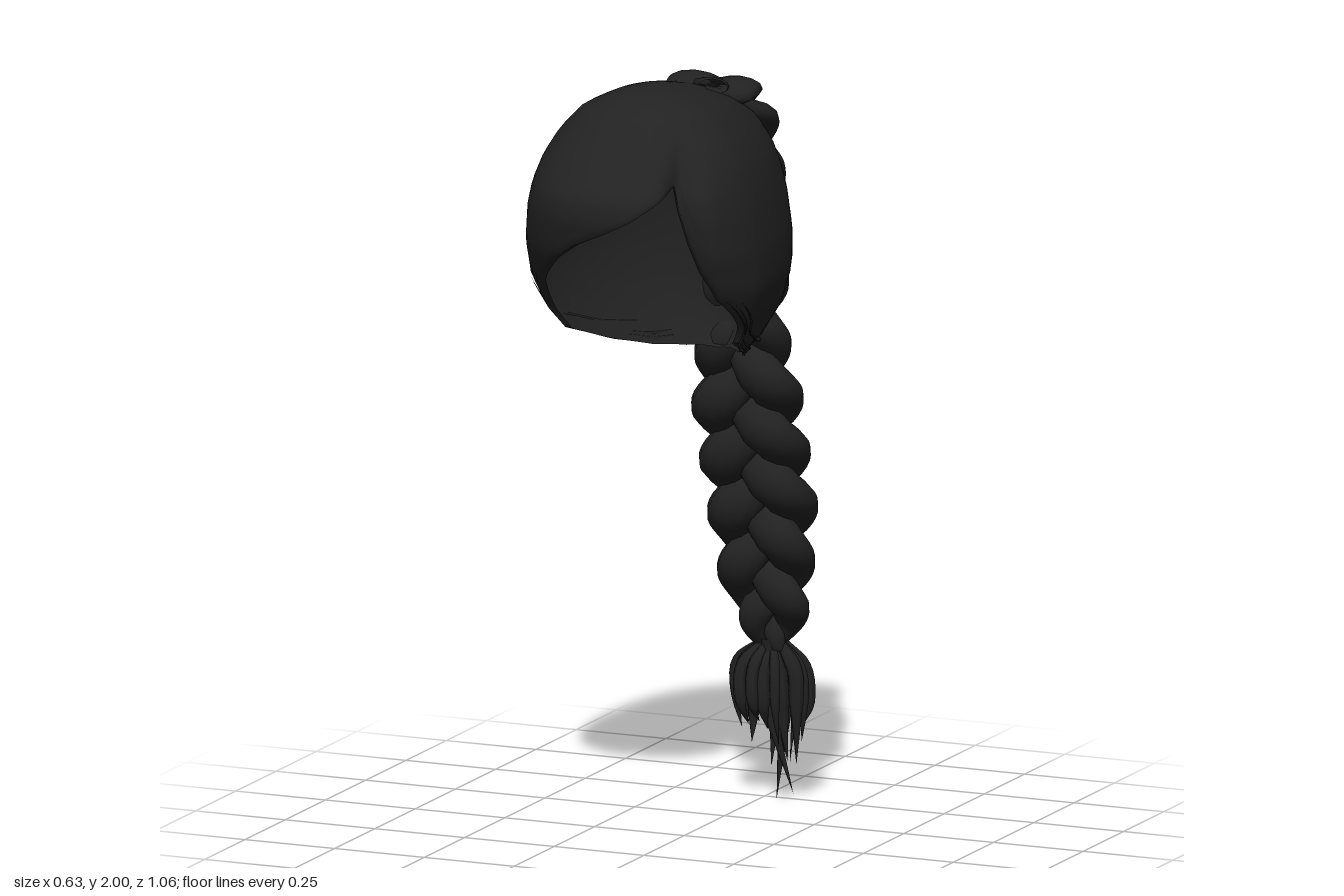
import * as THREE from 'three';

const hair = new THREE.MeshStandardMaterial({ color: 0x222222, side: THREE.DoubleSide });
hair.name = 'black hair';

const { lerp } = THREE.MathUtils;

// Linear lookup in rows sorted by their first value; returns the other columns
function lookup(rows, key) {
  let i = 0;
  while (i < rows.length - 2 && key > rows[i + 1][0]) i++;
  const a = rows[i], b = rows[i + 1];
  const t = THREE.MathUtils.clamp((key - a[0]) / (b[0] - a[0]), 0, 1);
  return a.slice(1).map((v, k) => lerp(v, b[k + 1], t));
}

function seeded(seed) {
  return () => (seed = (seed * 16807) % 2147483647) / 2147483647;
}

// Grid of rows, closed around each row
function loft(rows, cols, pointAt) {
  const pos = [], index = [];
  for (let r = 0; r <= rows; r++)
    for (let c = 0; c < cols; c++) pos.push(...pointAt(r / rows, c / cols).toArray());
  for (let r = 0; r < rows; r++)
    for (let c = 0; c < cols; c++) {
      const d = (c + 1) % cols;
      const a = r * cols + c, b = r * cols + d, e = a + cols, f = b + cols;
      index.push(a, e, b, b, e, f);
    }
  const g = new THREE.BufferGeometry();
  g.setAttribute('position', new THREE.Float32BufferAttribute(pos, 3));
  g.setIndex(index);
  g.computeVertexNormals();
  return g;
}

// Flattened tube along a path, with varying half width and half depth
function lock(path, width, depth, rows, cols) {
  return loft(rows, cols, (t, s) => {
    const p = path(t);
    const tan = path(Math.min(t + 0.004, 1)).sub(path(Math.max(t - 0.004, 0))).normalize();
    const side = new THREE.Vector3(1, 0, 0.01);
    side.addScaledVector(tan, -side.dot(tan)).normalize();
    const out = new THREE.Vector3().crossVectors(tan, side);
    const a = s * Math.PI * 2;
    return p.addScaledVector(side, width(t) * Math.cos(a)).addScaledVector(out, depth(t) * Math.sin(a));
  });
}

// Cap outline by height: y, half width, front z, back z
const RINGS = [
  [1.24, 0.14, 0.2, -0.24], [1.3, 0.21, 0.25, -0.26], [1.4, 0.28, 0.33, -0.27],
  [1.5, 0.315, 0.43, -0.27], [1.6, 0.317, 0.5, -0.265], [1.7, 0.304, 0.53, -0.25],
  [1.76, 0.29, 0.525, -0.235], [1.82, 0.27, 0.475, -0.21], [1.88, 0.235, 0.42, -0.17],
  [1.94, 0.18, 0.36, -0.08], [1.97, 0.12, 0.31, 0.02], [1.99, 0.06, 0.26, 0.11], [2, 0, 0.2, 0.2],
];
// Hem height by angle from the front, in degrees, positive to the left
const HEM = [
  [-180, 1.23], [-150, 1.24], [-130, 1.255], [-110, 1.29], [-90, 1.345], [-75, 1.4], [-60, 1.46],
  [-45, 1.525], [-30, 1.585], [-15, 1.635], [0, 1.67], [15, 1.71], [30, 1.76], [39, 1.79], [43, 1.7],
  [47, 1.57], [54, 1.48], [70, 1.42], [90, 1.345], [110, 1.29], [130, 1.255], [150, 1.24], [180, 1.23],
];

// Point on the cap; v runs from crown (0) to hem (1), grow scales it about its axis
function capPoint(deg, v, grow = 1) {
  const hem = lookup(HEM, deg)[0];
  const y = 2 - (2 - hem) * Math.pow(v, 1.7);
  const [w, zf, zb] = lookup(RINGS, y);
  const a = THREE.MathUtils.degToRad(deg), s = Math.sin(a), c = Math.cos(a);
  // a little squarer than an ellipse, least so at the front left
  const e = deg > 0 && deg < 90 ? 2.08 : 2.22;
  const full = Math.pow(Math.abs(s) ** e + Math.abs(c) ** e, -1 / e);
  // crease where the fringe parts from the left side
  const dent = 1 - 0.17 * Math.exp(-(((deg - 41) / 8) ** 2)) * THREE.MathUtils.clamp((1.92 - y) / 0.14, 0, 1);
  const k = grow * dent * full;
  return new THREE.Vector3(w * s * k, y, 0.2 + (c > 0 ? zf - 0.2 : 0.2 - zb) * c * k);
}

export function createModel() {
  const model = new THREE.Group();
  model.name = 'braidedHair';
  const rand = seeded(71);
  const add = (name, geometry, parent = model) => {
    const m = new THREE.Mesh(geometry, hair);
    m.name = name;
    parent.add(m);
    return m;
  };
  const group = (name) => {
    const g = new THREE.Group();
    g.name = name;
    model.add(g);
    return g;
  };

  // Open cap with the hem tucked inward
  const rows = 30;
  add('hairCap', loft(rows, 120, (t, s) => {
    const r = Math.round(t * rows), tuck = Math.max(0, r - 27);
    return capPoint(s * 360 - 180, Math.min(1, r / 27), 1 - 0.025 * tuck);
  }));

  // Fine strands following the hem
  const strays = group('hemStrands');
  for (let i = 0; i < 12; i++) {
    const start = (i % 2 ? 50 : -165) + rand() * 20, span = 60 + rand() * 45;
    const v = 0.93 + rand() * 0.07, grow = 1.005 + rand() * 0.02;
    const path = (t) => capPoint(start + span * t, v + 0.02 * Math.sin(t * 3), grow);
    add('hemStrand', loft(20, 4, (t, s) => {
      const r = 0.006 * Math.sin(Math.PI * t), a = s * Math.PI * 2, p = path(t);
      return p.add(new THREE.Vector3(r * 0.4 * Math.cos(a), r * Math.sin(a), r * 0.4 * Math.cos(a)));
    }), strays);
  }

  // Three-strand braid from the crown down the back
  const spine = new THREE.CatmullRomCurve3([
    [0.06, 1.96, 0.05], [0.045, 1.93, -0.09], [0.03, 1.83, -0.205], [0.03, 1.6, -0.265], [0.03, 1.4, -0.305],
    [0.03, 1.25, -0.305], [0.025, 1.05, -0.34], [0.03, 0.8, -0.41], [0.03, 0.6, -0.44], [0.04, 0.4, -0.465],
  ].map((p) => new THREE.Vector3(...p)));
  // Along the braid: width scale, depth scale
  const SIZE = [
    [0, 0.6, 0.45], [0.06, 0.9, 0.6], [0.2, 1, 0.8], [0.4, 0.88, 0.85], [0.48, 0.75, 0.95],
    [0.58, 1.05, 1.15], [0.78, 1.05, 1.15], [0.93, 0.85, 0.85], [1, 0.3, 0.4],
  ];
  const braid = group('braid');
  for (let k = 0; k < 3; k++) {
    const phase = (t) => 2 * Math.PI * (3.8 * t + k / 3);
    const path = (t) => {
      const p = spine.getPointAt(t), tan = spine.getTangentAt(t);
      const [wide, deep] = lookup(SIZE, t);
      const out = new THREE.Vector3(0, tan.z, -tan.y).normalize();
      p.x += 0.078 * wide * Math.sin(phase(t));
      return p.addScaledVector(out, 0.028 * deep * Math.sin(2 * phase(t)));
    };
    const swell = (t) => 0.82 + 0.18 * Math.abs(Math.sin(phase(t)));
    const width = (t) => 0.066 * lookup(SIZE, t)[0] * swell(t);
    const depth = (t) => 0.047 * lookup(SIZE, t)[1] * swell(t);
    add('braidStrand', lock(path, width, depth, 160, 12), braid);
  }

  // Narrow binding where the braid ends
  const tie = add('braidTie', new THREE.CylinderGeometry(0.034, 0.03, 0.03, 16));
  tie.position.set(0.04, 0.41, -0.465);

  // Loose tail: broad inner locks reach the tips, thin outer locks bulge around them
  const tail = group('tail');
  const TIPS = [[0.04, 0], [0.09, 0.02], [0.02, 0.08], [0.075, 0.1], [-0.03, 0.14]];
  for (let i = 0; i < 22; i++) {
    const inner = i < TIPS.length;
    const a = i * 2.4, spread = inner ? 0.4 : 0.6 + 0.4 * rand();
    const dx = Math.cos(a) * spread, dz = Math.sin(a) * spread;
    const [tipX, tipY] = inner ? TIPS[i] : [0.03 + dx * 0.1, 0.08 + 0.14 * rand()];
    const curve = new THREE.CatmullRomCurve3([
      new THREE.Vector3(0.04 + dx * 0.03, 0.42, -0.465 + dz * 0.02),
      new THREE.Vector3(0.03 + dx * 0.11, 0.35, -0.47 + dz * 0.05),
      new THREE.Vector3(lerp(0.03 + dx * 0.12, tipX, 0.3), 0.25, -0.478 + dz * 0.058),
      new THREE.Vector3(tipX, tipY, -0.485 + dz * 0.03),
    ]);
    const w = inner ? 0.026 : 0.011 + 0.012 * rand();
    const taper = (t) => w * Math.min(1, 0.5 + 2 * t) * Math.min(1, 2.5 * (1 - t));
    add('tailLock', lock((t) => curve.getPoint(t), taper, (t) => taper(t) * 0.3, 16, 6), tail);
  }

  return model;
}
